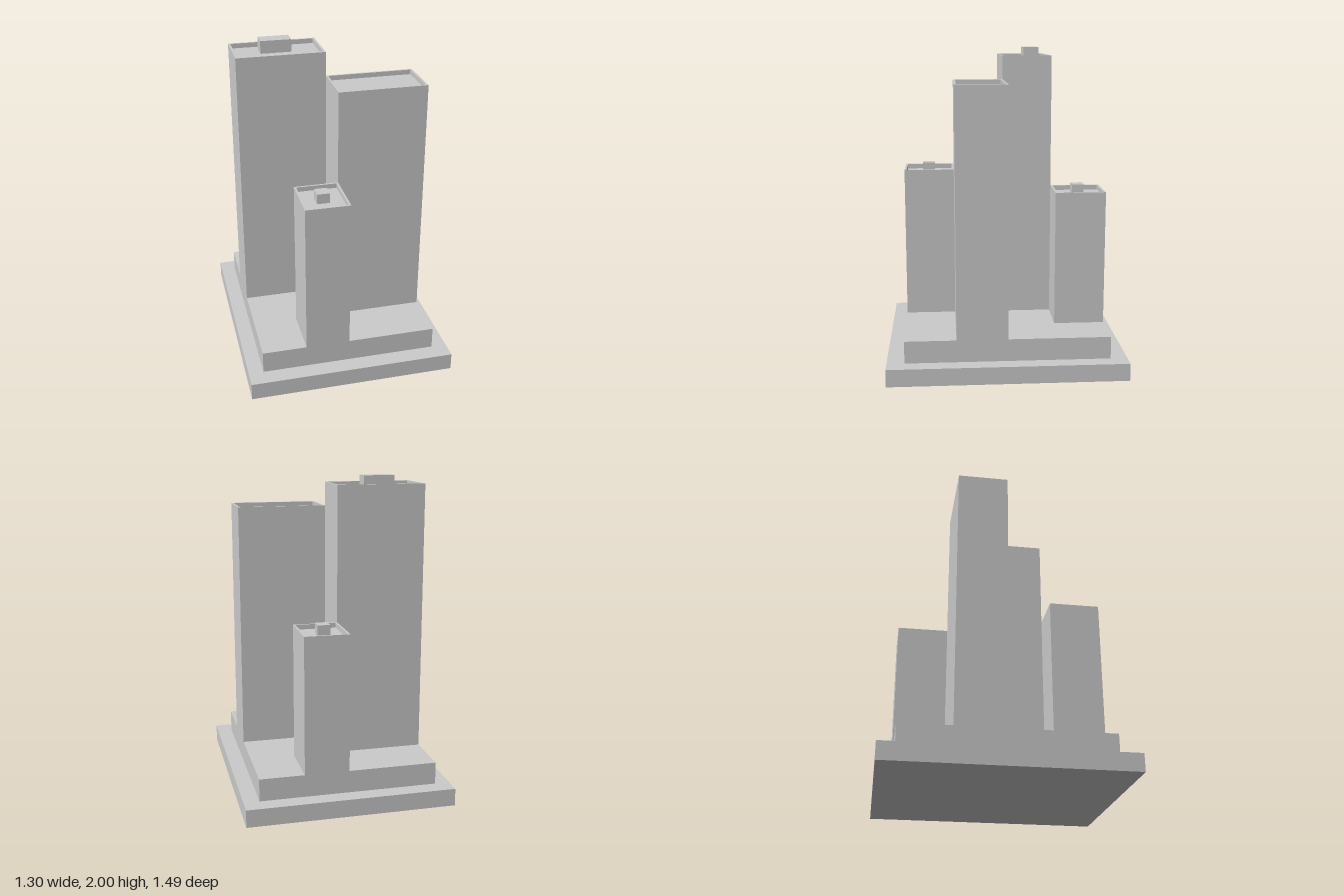
import * as THREE from 'three';

const material = new THREE.MeshStandardMaterial({ color: 0xcccccc, flatShading: true });

// Box given by its minimum and maximum on each axis
function block(name, x0, x1, y0, y1, z0, z1) {
  const mesh = new THREE.Mesh(new THREE.BoxGeometry(x1 - x0, y1 - y0, z1 - z0), material);
  mesh.position.set((x0 + x1) / 2, (y0 + y1) / 2, (z0 + z1) / 2);
  mesh.name = name;
  return mesh;
}

function rectangle(path, w, d) {
  path.moveTo(-w / 2, -d / 2);
  path.lineTo(w / 2, -d / 2);
  path.lineTo(w / 2, d / 2);
  path.lineTo(-w / 2, d / 2);
  path.closePath();
  return path;
}

const PLINTH_TOP = 0.11;
const PODIUM_TOP = 0.25;
const PARAPET = 0.013; // parapet thickness
const ROOF_DROP = 0.03; // roof lies this far below the parapet top

// Tower: outer walls rising into a parapet, sunken roof, optional rooftop unit
function tower({ name, x, z, top, unit }) {
  const group = new THREE.Group();
  group.name = name;
  const w = x[1] - x[0], d = z[1] - z[0];
  const outline = rectangle(new THREE.Shape(), w, d);
  outline.holes.push(rectangle(new THREE.Path(), w - 2 * PARAPET, d - 2 * PARAPET));
  const geometry = new THREE.ExtrudeGeometry(outline, { depth: top - PODIUM_TOP, bevelEnabled: false });
  geometry.rotateX(-Math.PI / 2);
  const walls = new THREE.Mesh(geometry, material);
  walls.position.set((x[0] + x[1]) / 2, PODIUM_TOP, (z[0] + z[1]) / 2);
  walls.name = 'walls';
  const roofY = top - ROOF_DROP;
  group.add(walls, block('roof', x[0] + PARAPET, x[1] - PARAPET, roofY - 0.03, roofY, z[0] + PARAPET, z[1] - PARAPET));
  if (unit) group.add(block('rooftopUnit', unit.x[0], unit.x[1], roofY, unit.top, unit.z[0], unit.z[1]));
  return group;
}

export function createModel() {
  const model = new THREE.Group();
  model.name = 'towerComplex';

  // Stepped base
  model.add(block('plinth', -0.652, 0.652, 0, PLINTH_TOP, -0.744, 0.744));
  model.add(block('podium', -0.558, 0.555, PLINTH_TOP, PODIUM_TOP, -0.639, 0.634));

  // Four towers in a pinwheel
  const towers = [
    { name: 'tallestTower', x: [-0.558, -0.002], z: [-0.32, -0.003], top: 1.95,
      unit: { x: [-0.38, -0.185], z: [-0.254, -0.155], top: 2 } },
    { name: 'wideTower', x: [-0.002, 0.555], z: [-0.003, 0.315], top: 1.8 },
    { name: 'frontTower', x: [-0.28, -0.002], z: [0.315, 0.634], top: 1.217,
      unit: { x: [-0.181, -0.103], z: [0.437, 0.516], top: 1.25 } },
    { name: 'backTower', x: [-0.002, 0.277], z: [-0.639, -0.32], top: 1.107,
      unit: { x: [0.09, 0.167], z: [-0.515, -0.438], top: 1.14 } },
  ];
  for (const spec of towers) model.add(tower(spec));
  return model;
}
